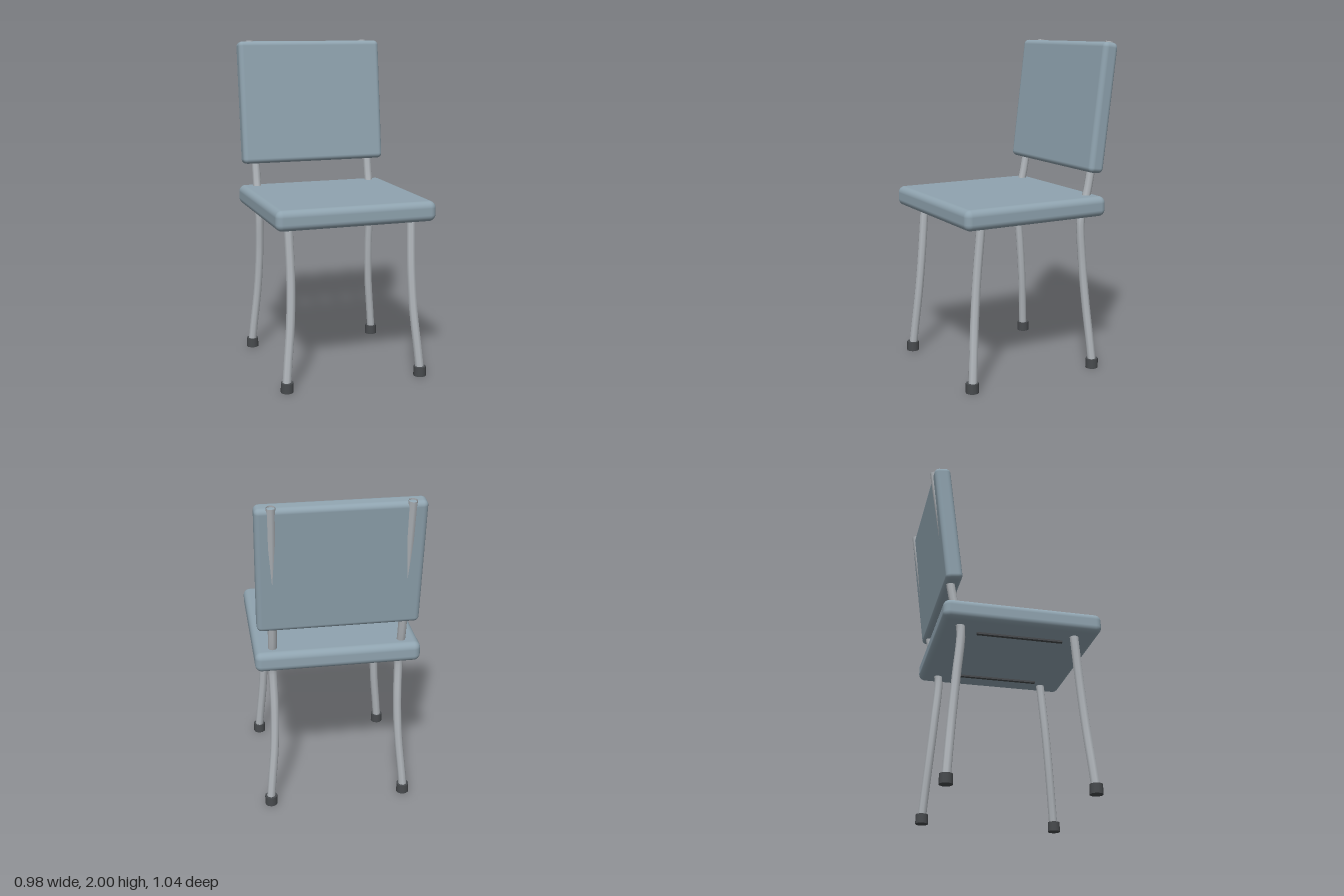
import * as THREE from 'three';
import { RoundedBoxGeometry } from 'three/addons/geometries/RoundedBoxGeometry.js';

export function createModel() {
  const chair = new THREE.Group();
  chair.name = 'chair';

  const padding = new THREE.MeshStandardMaterial({ color: 0x8fa3af, name: 'blueGreyPadding' });
  const metal = new THREE.MeshStandardMaterial({ color: 0xb2b7bc, name: 'paleMetal', side: THREE.DoubleSide });
  const rubber = new THREE.MeshStandardMaterial({ color: 0x484b4e, name: 'darkRubber' });

  function add(name, geometry, material, x = 0, y = 0, z = 0) {
    const mesh = new THREE.Mesh(geometry, material);
    mesh.name = name;
    mesh.position.set(x, y, z);
    chair.add(mesh);
    return mesh;
  }

  // Open-ended tube through a few points, mirrored by side
  function pole(name, side, points, radius) {
    const path = new THREE.CatmullRomCurve3(
      points.map(([x, y, z]) => new THREE.Vector3(side * x, y, z)), false, 'centripetal');
    add(name, new THREE.TubeGeometry(path, 32, radius, 8, false), metal);
  }

  // Padded seat and leaning backrest
  add('seat', new RoundedBoxGeometry(0.976, 0.121, 0.945, 4, 0.04), padding, 0, 1.025, 0.047);
  const back = add('backrest', new RoundedBoxGeometry(0.94, 0.772, 0.1, 4, 0.03), padding, 0, 1.61, -0.408);
  back.rotation.x = -0.122;

  for (const side of [1, -1]) {
    const label = side > 0 ? 'left' : 'right';

    // Splayed front leg
    pole(label + 'FrontLeg', side, [
      [0.422, 0.03, 0.455], [0.411, 0.15, 0.445], [0.387, 0.4, 0.423],
      [0.377, 0.65, 0.402], [0.381, 0.96, 0.375], [0.381, 1.03, 0.369]], 0.027);

    // Rear leg, bending at the seat and running up behind the backrest
    pole(label + 'RearLegAndUpright', side, [
      [0.422, 0.03, -0.38], [0.411, 0.15, -0.371], [0.387, 0.4, -0.35],
      [0.377, 0.65, -0.328], [0.381, 0.94, -0.307], [0.381, 1.0, -0.322],
      [0.381, 1.1, -0.35], [0.381, 1.3, -0.386], [0.381, 1.65, -0.441], [0.381, 1.997, -0.494]], 0.026);

    // Rubber feet
    for (const [end, z] of [['Front', 0.457], ['Rear', -0.38]]) {
      add(label + end + 'Foot', new THREE.CylinderGeometry(0.038, 0.039, 0.058, 12), rubber, side * 0.42, 0.029, z);
    }

    // Narrow rail under the seat
    add(label + 'SeatRail', new THREE.BoxGeometry(0.022, 0.03, 0.52), rubber, side * 0.315, 0.968, 0.06);
  }
  return chair;
}
